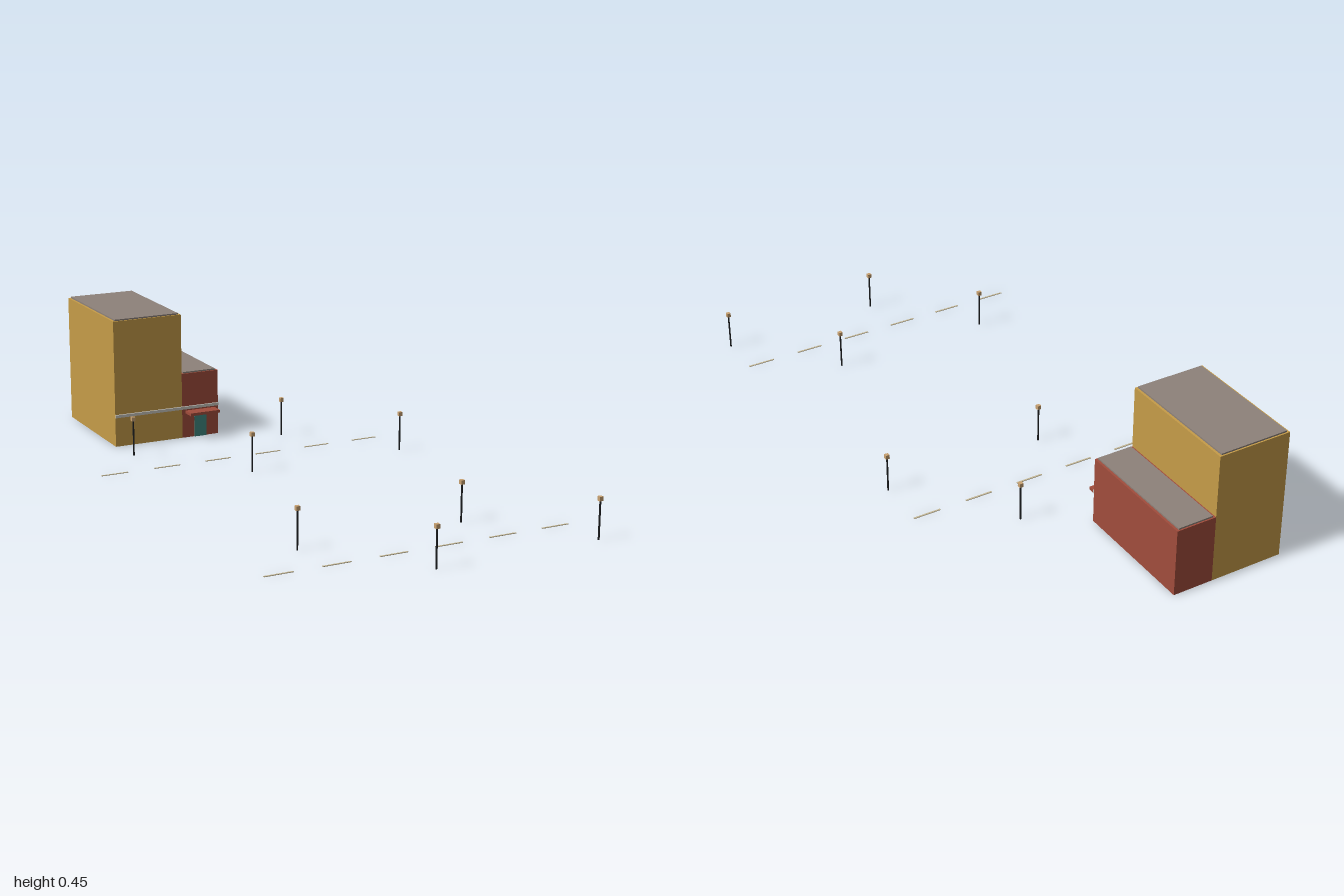
import * as THREE from 'three';

const mat = (name, color) => {
  const m = new THREE.MeshStandardMaterial({ color });
  m.name = name;
  return m;
};

export function createModel() {
  const model = new THREE.Group();
  model.name = 'streetBlock';

  const ochre = mat('ochre wall', 0xc69c48);
  const brick = mat('brick red', 0xa14d3c);
  const roofGrey = mat('roof grey', 0x8e827a);
  const trim = mat('pale trim', 0xc8c5be);
  const teal = mat('teal door', 0x3f8780);
  const black = mat('pole black', 0x1c1e20);
  const tan = mat('lamp tan', 0xc9a272);
  const paint = mat('road paint', 0xc4b795);

  // Box given by its min and max on each axis
  const box = (name, material, [x0, x1], [y0, y1], [z0, z1], parent = model) => {
    const mesh = new THREE.Mesh(new THREE.BoxGeometry(x1 - x0, y1 - y0, z1 - z0), material);
    mesh.position.set((x0 + x1) / 2, (y0 + y1) / 2, (z0 + z1) / 2);
    mesh.name = name;
    parent.add(mesh);
    return mesh;
  };

  // Two adjoining buildings, each with an inset roof slab
  const back = -1, front = -0.565, inset = 0.008;
  const building = (name, material, x0, x1, h) => {
    const g = new THREE.Group();
    g.name = name;
    box('walls', material, [x0, x1], [0, h], [back, front], g);
    box('roof', roofGrey, [x0 + inset, x1 - inset], [h - 0.002, h + 0.005],
      [back + 0.005, front - 0.005], g);
    model.add(g);
  };
  building('tallBuilding', ochre, -0.38, -0.128, 0.445);
  building('lowBuilding', brick, -0.128, 0.01, 0.232);

  // Facade details
  box('facadeBand', trim, [-0.38, 0.01], [0.104, 0.114], [front, front + 0.006]);
  box('door', teal, [-0.082, -0.037], [0, 0.08], [front, front + 0.004]);
  box('awning', brick, [-0.115, -0.003], [0.088, 0.098], [front, -0.52]);

  // Street lamps: two staggered pairs per street
  const poleGeo = new THREE.CylinderGeometry(0.003, 0.003, 0.125, 8);
  const headGeo = new THREE.BoxGeometry(0.013, 0.014, 0.013);
  const lamp = (x, z) => {
    const g = new THREE.Group();
    g.name = 'streetLamp';
    const pole = new THREE.Mesh(poleGeo, black);
    pole.name = 'pole';
    pole.position.y = 0.0625;
    const head = new THREE.Mesh(headGeo, tan);
    head.name = 'lampHead';
    head.position.y = 0.13;
    g.add(pole, head);
    g.position.set(x, 0, z);
    model.add(g);
  };
  for (const [x, z] of [[-0.364, -0.44], [-0.302, 0.67]]) {
    for (const dx of [0, 0.563]) {
      lamp(x + dx, z);
      lamp(x + dx + 0.281, z + (z < 0 ? 0.35 : 0.323));
    }
  }

  // Dashed centre lines of the two streets
  for (const [start, z] of [[-0.55, -0.268], [-0.49, 0.83]]) {
    for (let i = 0; i < 6; i++) {
      const x = start + i * 0.188;
      box('laneDash', paint, [x, x + 0.094], [0, 0.002], [z - 0.003, z + 0.003]);
    }
  }

  return model;
}
